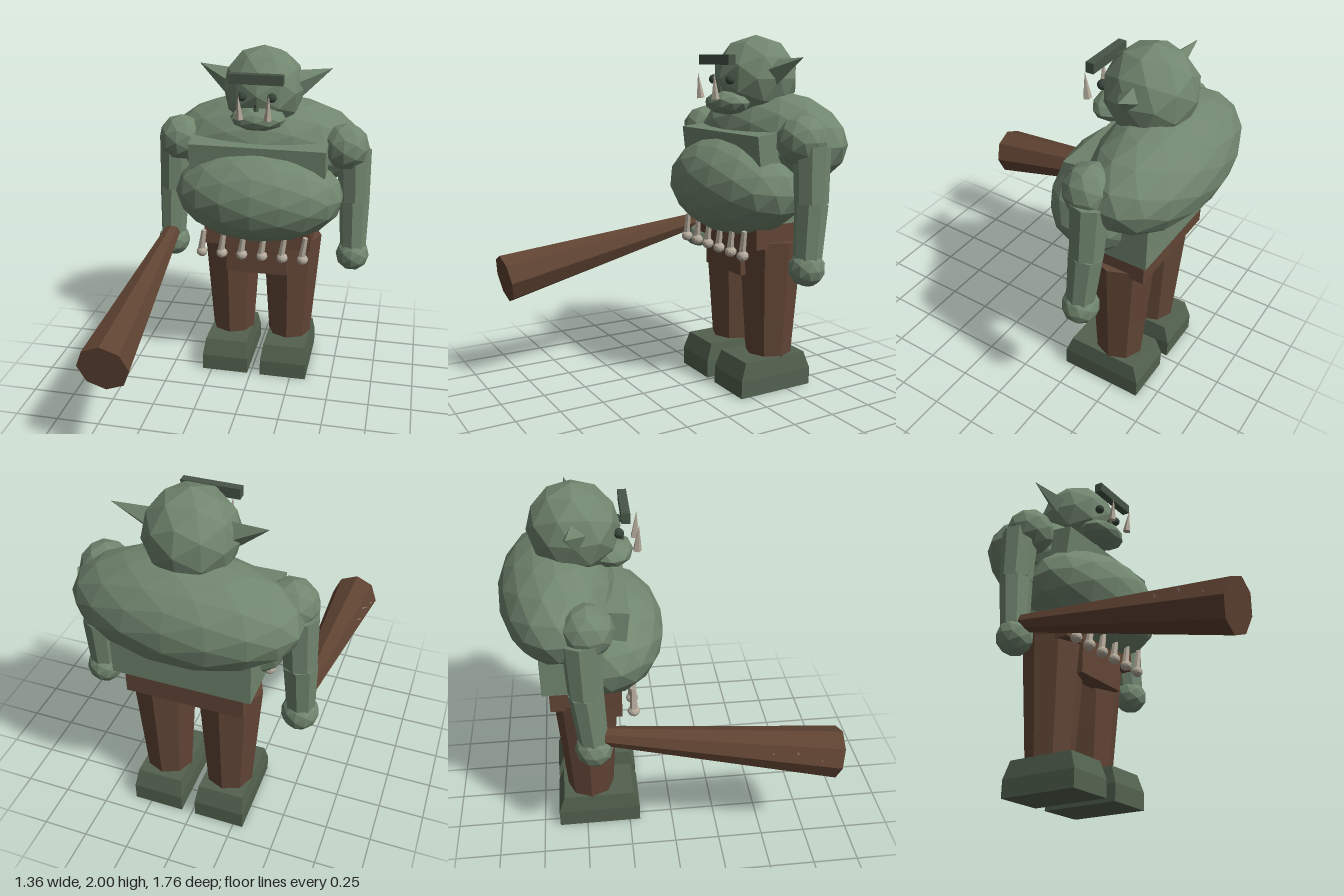
import * as THREE from 'three';

const paint = (name, color) => {
  const m = new THREE.MeshStandardMaterial({ color, flatShading: true });
  m.name = name;
  return m;
};

export function createModel() {
  const skin = paint('greenSkin', 0x71866f);
  const boot = paint('bootGreen', 0x53624f);
  const dark = paint('darkGreen', 0x465546);
  const eye = paint('eyeDark', 0x36443a);
  const brown = paint('brownHide', 0x624636);
  const wood = paint('clubWood', 0x5f4332);
  const ivory = paint('ivory', 0xb4aa9b);

  const model = new THREE.Group();
  model.name = 'ogre';
  const body = new THREE.Group();
  body.name = 'body';
  body.position.x = 0.02;
  model.add(body);

  const put = (name, geo, mat, pos, parent = body) => {
    const mesh = new THREE.Mesh(geo, mat);
    mesh.name = name;
    mesh.position.set(...pos);
    parent.add(mesh);
    return mesh;
  };
  const ball = (name, mat, pos, radii, detail = 1) =>
    put(name, new THREE.IcosahedronGeometry(1, detail).scale(...radii), mat, pos);
  const box = (name, mat, pos, size) => put(name, new THREE.BoxGeometry(...size), mat, pos);
  // Tapered bar from point a (radius ra) to point b (radius rb)
  const bar = (name, mat, a, b, ra, rb, sides = 8, parent = body) => {
    const A = new THREE.Vector3(...a), B = new THREE.Vector3(...b);
    const dir = B.clone().sub(A);
    const geo = new THREE.CylinderGeometry(rb, ra, dir.length(), sides);
    const mesh = put(name, geo, mat, A.clone().add(B).multiplyScalar(0.5).toArray(), parent);
    mesh.quaternion.setFromUnitVectors(new THREE.Vector3(0, 1, 0), dir.normalize());
    return mesh;
  };

  // Torso
  ball('upperBack', skin, [0, 1.41, -0.575], [0.59, 0.285, 0.31], 2);
  ball('belly', skin, [0, 1.16, -0.34], [0.5, 0.285, 0.325], 2).rotation.x = -0.1;
  box('chestPlate', skin, [0, 1.405, -0.36], [0.79, 0.16, 0.26]).rotation.x = 0.12;
  box('lowerBack', skin, [0, 1.14, -0.53], [0.74, 0.31, 0.32]);

  // Hips and loincloth
  box('waistband', brown, [0, 0.91, -0.465], [0.64, 0.14, 0.38]);
  box('loincloth', brown, [0, 0.79, -0.32], [0.37, 0.24, 0.11]);

  // Head
  ball('head', skin, [0, 1.76, -0.47], [0.24, 0.24, 0.24]);
  ball('jaw', skin, [0, 1.628, -0.285], [0.16, 0.07, 0.115]);
  box('brow', dark, [0, 1.863, -0.212], [0.305, 0.055, 0.045]);
  bar('nose', dark, [0, 1.68, -0.23], [0, 1.72, -0.23], 0.017, 0.01, 5);

  for (const s of [-1, 1]) {
    const side = s > 0 ? 'left' : 'right';
    // Face details
    ball(side + 'Eye', eye, [s * 0.085, 1.755, -0.245], [0.027, 0.027, 0.027]);
    bar(side + 'Tusk', ivory, [s * 0.078, 1.652, -0.155], [s * 0.085, 1.79, -0.143], 0.024, 0.001, 5);
    const ear = bar(side + 'Ear', skin, [s * 0.2, 1.795, -0.465], [s * 0.385, 1.875, -0.51], 0.075, 0.001, 4);
    ear.scale.z = 0.8;

    // Arm
    ball(side + 'Shoulder', skin, [s * 0.487, 1.445, -0.435], [0.137, 0.137, 0.137]);
    bar(side + 'UpperArm', skin, [s * 0.535, 1.42, -0.465], [s * 0.55, 1.12, -0.46], 0.1, 0.09);
    bar(side + 'Forearm', skin, [s * 0.55, 1.12, -0.46], [s * 0.56, 0.8, -0.435], 0.09, 0.076);
    ball(side + 'Hand', skin, [s * 0.558, 0.775, -0.435], [0.1, 0.1, 0.1]);

    // Leg
    bar(side + 'Thigh', brown, [s * 0.183, 0.45, -0.465], [s * 0.185, 0.87, -0.465], 0.15, 0.18);
    bar(side + 'Shin', brown, [s * 0.182, 0.17, -0.465], [s * 0.183, 0.45, -0.465], 0.13, 0.15);

    // Boot: box whose top ring is drawn in
    const geo = new THREE.BoxGeometry(0.285, 0.2, 0.47, 1, 2, 1);
    const p = geo.attributes.position;
    for (let i = 0; i < p.count; i++) {
      if (p.getY(i) < 0.05) continue;
      p.setX(i, p.getX(i) * 0.9);
      p.setZ(i, p.getZ(i) * 0.85);
    }
    put(side + 'Boot', geo, boot, [s * 0.183, 0.1, -0.425]);
  }

  // Bones hanging from the waist
  for (let i = 0; i < 6; i++) {
    const x = -0.32 + i * 0.121;
    bar('hangingBone', ivory, [x - 0.006, 0.82, -0.21], [x + 0.014, 0.95, -0.21], 0.022, 0.016, 6);
    ball('boneKnob', ivory, [x, 0.812, -0.21], [0.034, 0.031, 0.034]);
  }

  // Club held in the right hand, with small splinters
  const tail = [-0.535, 0.857, -0.45], end = [-0.543, 0.626, 0.86];
  bar('club', wood, tail, end, 0.045, 0.14, 8, model);
  for (const [z, dy] of [[0.49, 0.03], [0.62, 0.05], [0.75, 0.02]]) {
    const t = (z + 0.45) / 1.31;
    const y = tail[1] + (end[1] - tail[1]) * t + dy;
    const r = 0.045 + 0.095 * t;
    bar('clubSplinter', ivory, [-0.54 - r * 0.8, y, z], [-0.54 - r - 0.005, y + 0.015, z], 0.006, 0.001, 4, model);
  }
  return model;
}
